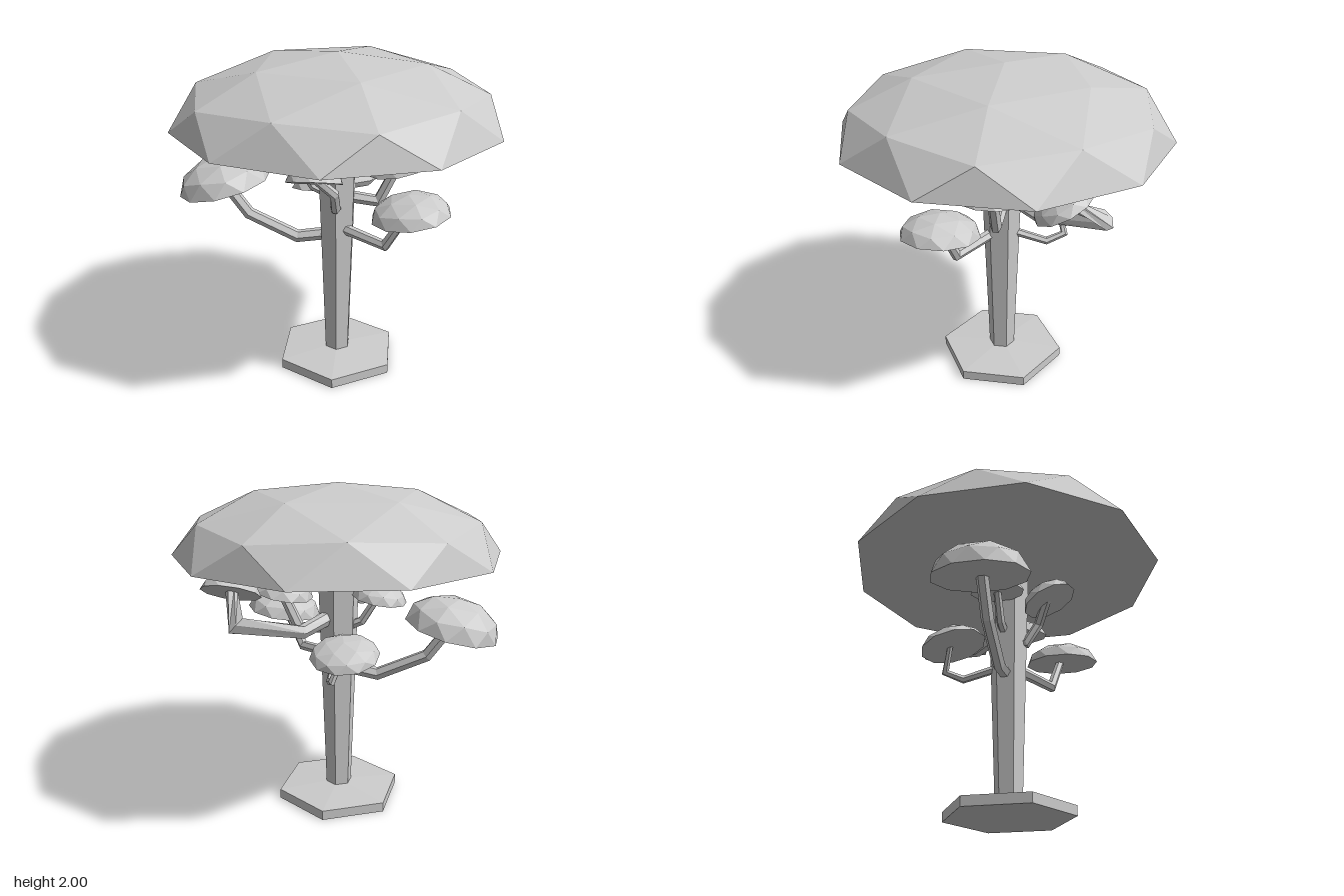
import * as THREE from 'three';

const material = new THREE.MeshStandardMaterial({ color: 0xcccccc, flatShading: true });

function makeMesh(name, geometry) {
  const mesh = new THREE.Mesh(geometry, material);
  mesh.name = name;
  return mesh;
}

function fromTriangles(points) {
  const geometry = new THREE.BufferGeometry().setFromPoints(points);
  geometry.computeVertexNormals();
  return geometry;
}

// Half of a faceted sphere of radius 1: five-fold rings below a pole, closed underneath
function domeGeometry() {
  const at = (r, y, deg) => {
    const a = THREE.MathUtils.degToRad(deg);
    return new THREE.Vector3(r * Math.cos(a), y, -r * Math.sin(a));
  };
  const pole = at(0, 1, 0), centre = at(0, 0, 0), tri = [];
  for (let k = 0; k < 5; k++) {
    const d = k * 72;
    const a0 = at(0.526, 0.851, d), a1 = at(0.526, 0.851, d + 72);
    const b0 = at(0.894, 0.447, d), b1 = at(0.894, 0.447, d + 72);
    const m = at(0.851, 0.526, d + 36);
    const e0 = at(1, 0, d - 18), e1 = at(1, 0, d + 18), e2 = at(1, 0, d + 54);
    tri.push(
      pole, a0, a1, a0, m, a1, a0, b0, m, a1, m, b1,
      b0, e0, e1, b0, e1, m, m, e1, e2, m, e2, b1,
      centre, e1, e0, centre, e2, e1
    );
  }
  return fromTriangles(tri);
}

// Six-sided bar through a list of points, mitred at the bends and capped
function branchGeometry(path, r0, r1, sides = 6) {
  const pts = path.map((p) => new THREE.Vector3(...p));
  const n = pts.length - 1;
  const span = pts[n].clone().sub(pts[0]);
  const side = new THREE.Vector3(span.z, 0, -span.x).normalize();
  const dir = (i) => pts[i + 1].clone().sub(pts[i]).normalize();
  const rings = pts.map((p, i) => {
    const before = dir(Math.max(i - 1, 0)), after = dir(Math.min(i, n - 1));
    const t = before.clone().add(after).normalize();
    const u = side.clone().addScaledVector(t, -side.dot(t)).normalize();
    const v = new THREE.Vector3().crossVectors(t, u);
    const r = THREE.MathUtils.lerp(r0, r1, i / n);
    const mitre = 1 / t.dot(after);
    return Array.from({ length: sides }, (_, s) => {
      const a = (s / sides) * Math.PI * 2;
      return p.clone().addScaledVector(u, r * Math.cos(a)).addScaledVector(v, r * mitre * Math.sin(a));
    });
  });
  const tri = [];
  for (let s = 0; s < sides; s++) {
    const q = (s + 1) % sides;
    for (let i = 0; i < n; i++) {
      const a = rings[i], b = rings[i + 1];
      tri.push(a[s], a[q], b[q], a[s], b[q], b[s]);
    }
    tri.push(pts[0], rings[0][q], rings[0][s], pts[n], rings[n][s], rings[n][q]);
  }
  return fromTriangles(tri);
}

// Each limb: branch path and radii, then the foliage centre, radius, height and up direction
const limbs = [
  { name: 'rightLarge', path: [[0, 0.88, 0.01], [-0.23, 0.845, 0.01], [-0.53, 0.99, 0.01], [-0.68, 1.2, 0.01]],
    r: [0.04, 0.036], at: [-0.672, 1.175, 0], radius: 0.285, height: 0.185, up: [-0.23, 1, 0] },
  { name: 'front', path: [[0.02, 1.1, 0.06], [0.02, 1.09, 0.13], [0.02, 1.21, 0.21], [-0.09, 1.34, 0.29]],
    r: [0.032, 0.028], at: [-0.088, 1.31, 0.3], radius: 0.168, height: 0.11, up: [0, 1, -0.42] },
  { name: 'leftFront', path: [[0.04, 0.935, 0.05], [0.32, 0.91, 0.24], [0.46, 1.16, 0.29]],
    r: [0.034, 0.026], at: [0.465, 1.13, 0.295], radius: 0.234, height: 0.13, up: [-0.14, 1, 0] },
  { name: 'left', path: [[0.05, 1.13, 0.01], [0.27, 1.1, 0.01], [0.38, 1.33, 0.01]],
    r: [0.038, 0.032], at: [0.38, 1.32, 0.015], radius: 0.193, height: 0.105, up: [-0.2, 1, 0] },
  { name: 'leftBack', path: [[0.06, 1.2, -0.03], [0.18, 1.15, -0.22], [0.43, 1.285, -0.62], [0.53, 1.42, -0.42]],
    r: [0.045, 0.035], at: [0.545, 1.405, -0.4], radius: 0.177, height: 0.095, up: [0, 0.88, 0.47] },
  { name: 'rightSmall', path: [[0, 1.12, 0.01], [-0.13, 1.18, 0], [-0.23, 1.34, 0]],
    r: [0.03, 0.024], at: [-0.235, 1.325, 0], radius: 0.165, height: 0.095, up: [-0.16, 1, 0] },
  { name: 'back', path: [[0.02, 0.94, -0.03], [0, 0.87, -0.26], [-0.04, 0.91, -0.365], [-0.1, 1.07, -0.32]],
    r: [0.026, 0.018], at: [-0.1, 1.052, -0.302], radius: 0.205, height: 0.09, up: [0, 1, -0.25] },
];

export function createModel() {
  const model = new THREE.Group();
  model.name = 'tree';

  // Hexagonal foot with a shallow sloping top, and the trunk widening upwards
  const addColumn = (name, rTop, rBottom, y0, y1) => {
    const mesh = makeMesh(name, new THREE.CylinderGeometry(rTop, rBottom, y1 - y0, 6));
    mesh.position.set(0.02, (y0 + y1) / 2, 0.018);
    model.add(mesh);
  };
  addColumn('base', 0.39, 0.39, 0, 0.06);
  addColumn('baseSlope', 0.08, 0.39, 0.06, 0.08);
  addColumn('trunk', 0.133, 0.081, 0.06, 1.6);

  // Foliage domes
  const dome = domeGeometry();
  const addDome = (name, parent, at, radius, height, up) => {
    const mesh = makeMesh(name, dome);
    mesh.position.set(...at);
    mesh.scale.set(radius, height, radius);
    mesh.quaternion.setFromUnitVectors(new THREE.Vector3(0, 1, 0), new THREE.Vector3(...up).normalize());
    parent.add(mesh);
  };
  addDome('canopy', model, [0.02, 1.588, 0], 0.977, 0.412, [0, 1, 0]);

  // Side branches, each carrying a small dome
  for (const limb of limbs) {
    const group = new THREE.Group();
    group.name = limb.name + 'Limb';
    group.add(makeMesh('branch', branchGeometry(limb.path, ...limb.r)));
    addDome('foliage', group, limb.at, limb.radius, limb.height, limb.up);
    model.add(group);
  }
  return model;
}
